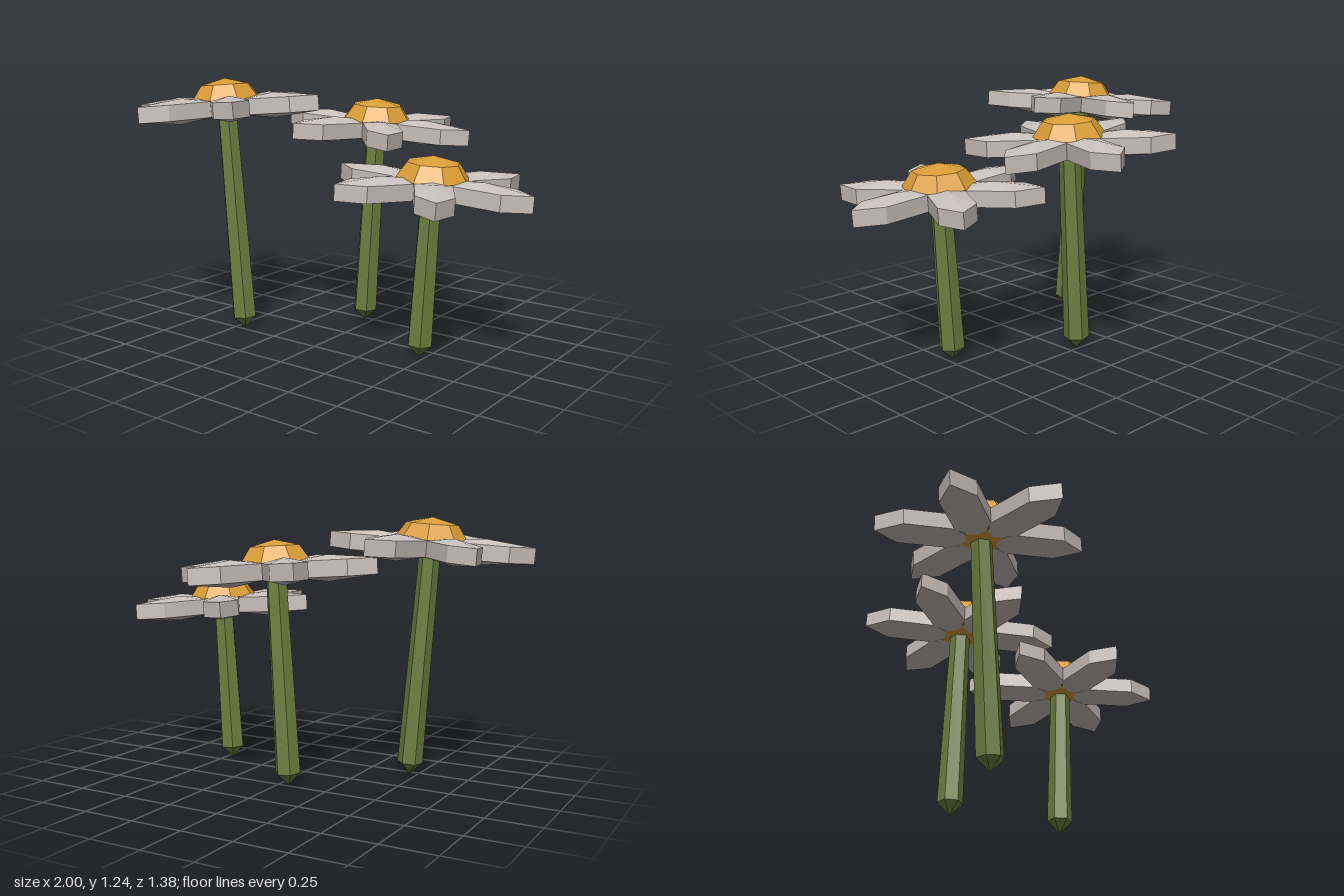
import * as THREE from 'three';

const flat = (name, color) => {
  const m = new THREE.MeshStandardMaterial({ color, flatShading: true });
  m.name = name;
  return m;
};

// Faceted solid turned from a profile of [radius, y] pairs, with one corner facing +x
function faceted(profile, sides) {
  const points = profile.map(([r, y]) => new THREE.Vector2(r, y));
  return new THREE.LatheGeometry(points, sides).rotateY(Math.PI / 2);
}

function part(name, geometry, material, parent) {
  const mesh = new THREE.Mesh(geometry, material);
  mesh.name = name;
  parent.add(mesh);
  return mesh;
}

export function createModel() {
  const model = new THREE.Group();
  model.name = 'daisies';
  const green = flat('stem green', 0x6d7f40);
  const white = flat('petal grey white', 0xcac1bd);
  const gold = flat('centre gold', 0xd99d37);

  // Long six-sided petal with low pointed caps
  const petalShape = faceted([[0, -0.06], [1, -0.037], [1, 0.037], [0, 0.06]], 6);
  petalShape.scale(0.226, 1, 0.095);

  // Eight-sided flattened flower centre
  const centreShape = new THREE.SphereGeometry(0.17, 8, 4).scale(1, 0.1 / 0.17, 1);

  // x, z of the stem foot, height of the flower centre, lean, turn
  const flowers = [
    { x: -0.455, z: 0.225, height: 1.14, lean: 0.082, turn: 16 },
    { x: -0.05, z: -0.238, height: 1.038, lean: -0.065, turn: 10 },
    { x: 0.465, z: 0.07, height: 0.835, lean: -0.065, turn: 2.6 },
  ];

  for (const { x, z, height, lean, turn } of flowers) {
    const flower = new THREE.Group();
    flower.name = 'flower';
    flower.position.set(x, 0, z);
    flower.rotation.z = lean;
    model.add(flower);

    const plant = new THREE.Group();
    plant.name = 'plant';
    plant.rotation.y = THREE.MathUtils.degToRad(turn);
    flower.add(plant);

    // Tapered stem with a pointed foot
    part('stem', faceted([[0, 0], [0.061, 0.06], [0.049, height - 0.04], [0, height]], 6), green, plant);

    part('centre', centreShape, gold, plant).position.y = height;

    // Ring of six petals
    for (let i = 0; i < 6; i++) {
      const a = (i * Math.PI) / 3;
      const petal = part('petal', petalShape, white, plant);
      petal.position.set(0.252 * Math.cos(a), height - 0.04, -0.252 * Math.sin(a));
      petal.rotation.y = a;
    }
  }
  return model;
}
